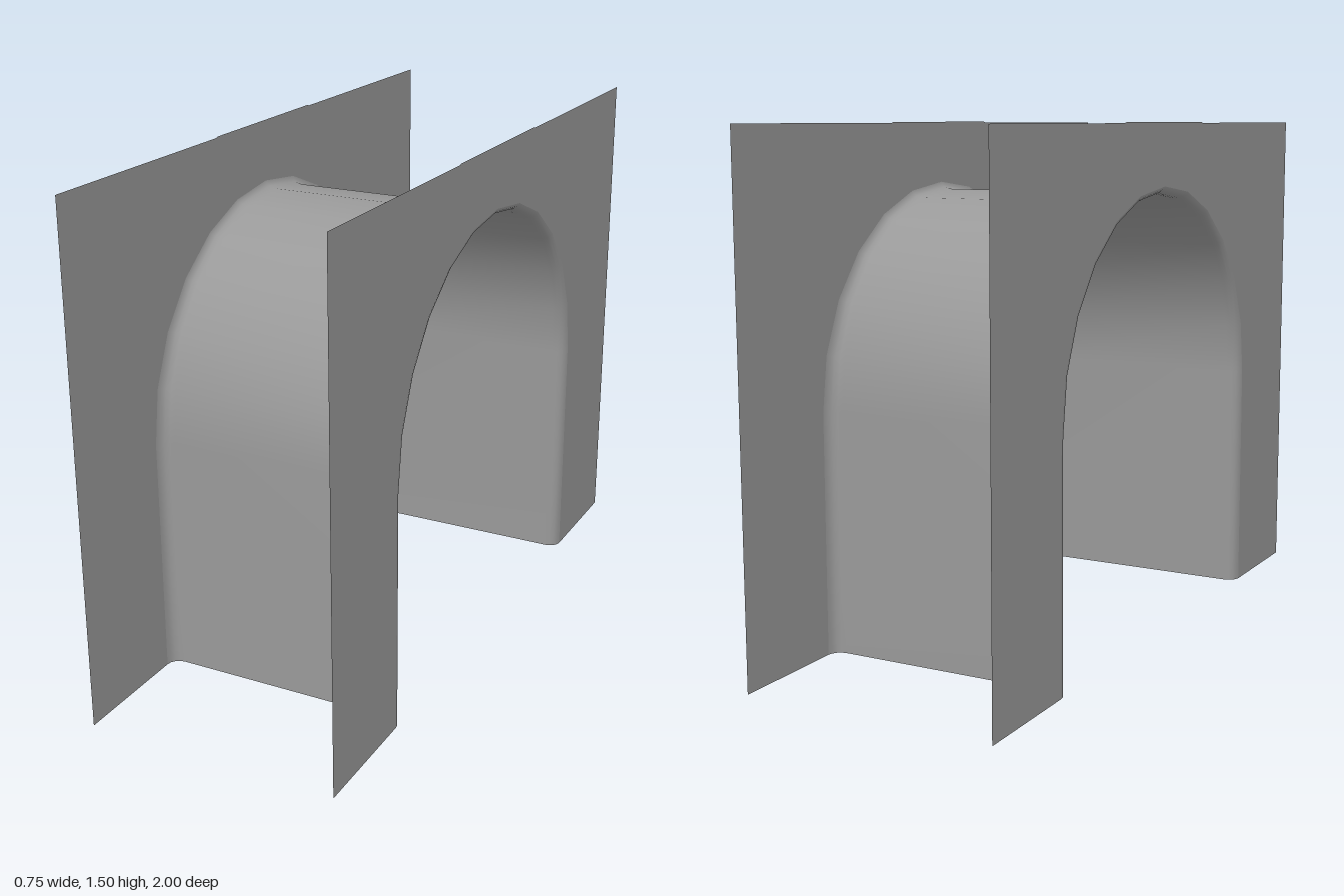
import * as THREE from 'three';

const HALF_WIDTH = 0.375, RADIUS = 0.6, SPRING = 0.7;
const FLARE_DEPTH = 0.038, FLARE_SIDE = 0.036, FLARE_TOP = 0.021;

// Arch outline in (z, y): foot, 12-sided half circle, foot; flare runs from 0 (barrel) to 1 (wall)
function archOutline(flare) {
  const rz = RADIUS + flare * FLARE_SIDE, ry = RADIUS + flare * FLARE_TOP;
  const points = [new THREE.Vector2(rz, 0)];
  for (let i = 0; i <= 12; i++) {
    const a = (i / 12) * Math.PI;
    points.push(new THREE.Vector2(rz * Math.cos(a), SPRING + ry * Math.sin(a)));
  }
  points.push(new THREE.Vector2(-rz, 0));
  return points;
}

// Sheet lofted through arch outlines, flaring into a rounded rim at each end
function vaultGeometry() {
  const rim = [];
  for (let i = 0; i <= 4; i++) {
    const a = (i / 4) * Math.PI / 2;
    rim.push([HALF_WIDTH - FLARE_DEPTH * (1 - Math.sin(a)), 1 - Math.cos(a)]);
  }
  const profile = [...rim.map(([x, flare]) => [-x, flare]).reverse(), ...rim];
  const positions = [], indices = [];
  profile.forEach(([x, flare], row) => {
    const outline = archOutline(flare), count = outline.length;
    outline.forEach(p => positions.push(x, p.y, p.x));
    if (row === 0) return;
    for (let j = 0; j < count - 1; j++) {
      const a = (row - 1) * count + j, b = row * count + j;
      indices.push(a, b, a + 1, b, b + 1, a + 1);
    }
  });
  const geometry = new THREE.BufferGeometry();
  geometry.setAttribute('position', new THREE.Float32BufferAttribute(positions, 3));
  geometry.setIndex(indices);
  geometry.computeVertexNormals();
  return geometry;
}

// Flat wall with the arched opening cut out of its lower edge
function wallGeometry() {
  const outer = [[-1, 0], [-1, 1.5], [-0.27, 1.5], [-0.26, 1.503], [0.26, 1.503], [0.27, 1.5], [1, 1.5], [1, 0]];
  const shape = new THREE.Shape([
    ...outer.map(([z, y]) => new THREE.Vector2(z, y)),
    ...archOutline(1),
  ]);
  return new THREE.ShapeGeometry(shape).rotateY(Math.PI / 2);
}

export function createModel() {
  const group = new THREE.Group();
  group.name = 'archedPassage';
  const material = new THREE.MeshStandardMaterial({ color: 0x999999, side: THREE.DoubleSide });

  const vault = new THREE.Mesh(vaultGeometry(), material);
  vault.name = 'vault';
  group.add(vault);

  // Matching walls on both sides of the vault
  for (const side of [1, -1]) {
    const wall = new THREE.Mesh(wallGeometry(), material);
    wall.name = side > 0 ? 'leftWall' : 'rightWall';
    wall.position.x = side * HALF_WIDTH;
    if (side < 0) wall.rotation.y = Math.PI;
    group.add(wall);
  }
  return group;
}
